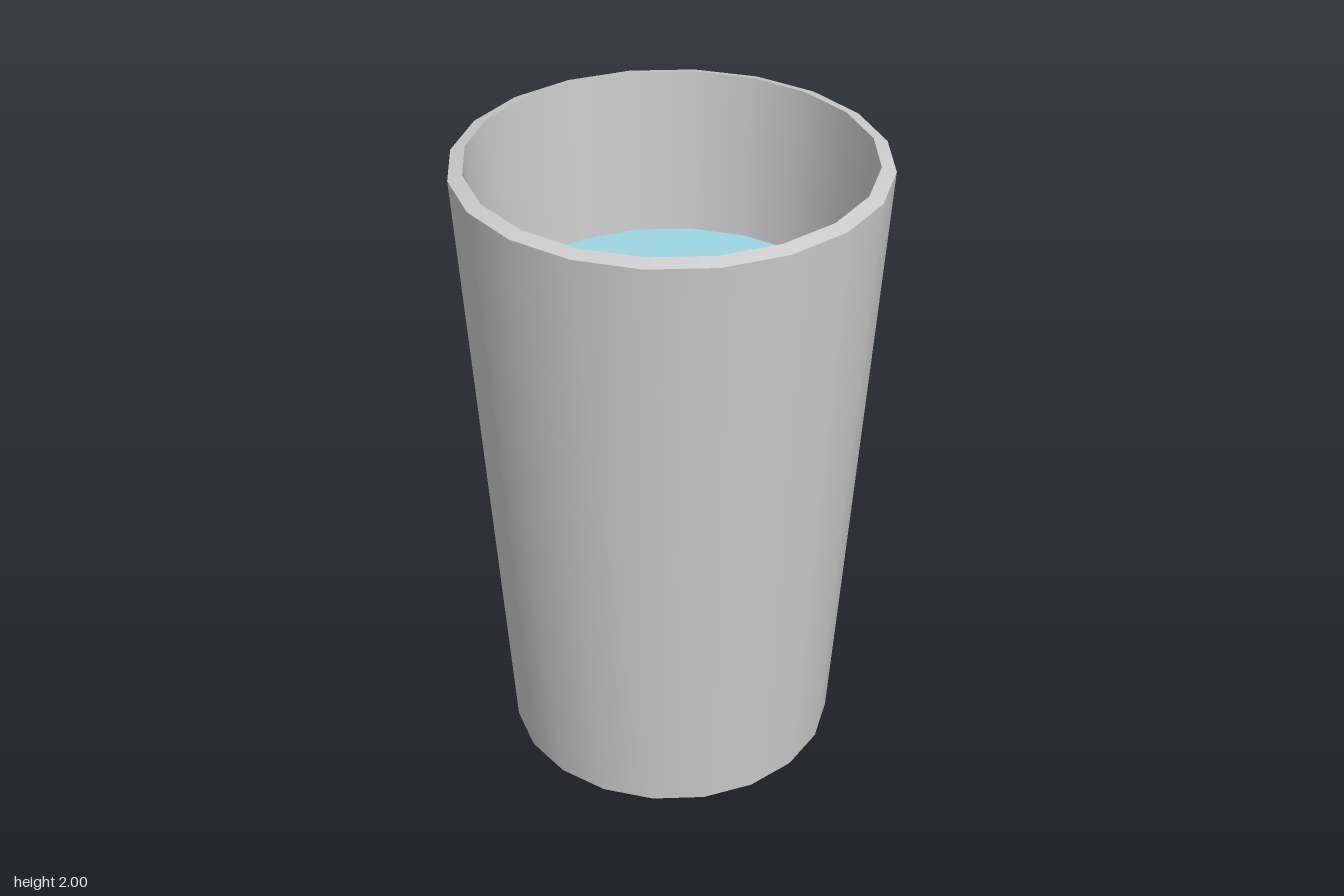
import * as THREE from 'three';
import { mergeGeometries } from 'three/addons/utils/BufferGeometryUtils.js';

const SIDES = 20;

// Revolve each profile segment on its own: smooth around, sharp between segments
function turned(profile) {
  const bands = [];
  for (let i = 0; i < profile.length - 1; i++) {
    const pair = [profile[i], profile[i + 1]].map(([r, y]) => new THREE.Vector2(r, y));
    bands.push(new THREE.LatheGeometry(pair, SIDES));
  }
  return mergeGeometries(bands);
}

function addPart(group, name, profile, color) {
  const mesh = new THREE.Mesh(turned(profile), new THREE.MeshStandardMaterial({ color }));
  mesh.name = name;
  group.add(mesh);
}

export function createModel() {
  const group = new THREE.Group();
  group.name = 'drinkingGlass';

  const floorY = 0.06, levelY = 1.47;
  const rimInner = 0.6, rimY = 2, slope = 0.063;
  const innerRadius = (y) => rimInner - slope * (rimY - y);

  // Tapered tumbler: base, outer wall, sloping rim, inner wall, inner floor
  addPart(group, 'tumbler', [
    [0, 0],
    [0.52, 0],
    [0.643, 1.987],
    [rimInner, rimY],
    [innerRadius(floorY), floorY],
    [0, floorY],
  ], 0xcccccc);

  // Liquid filling the tumbler to about three quarters
  addPart(group, 'liquid', [
    [0, floorY],
    [innerRadius(floorY), floorY],
    [innerRadius(levelY), levelY],
    [0, levelY],
  ], 0x9fd5e3);

  return group;
}
